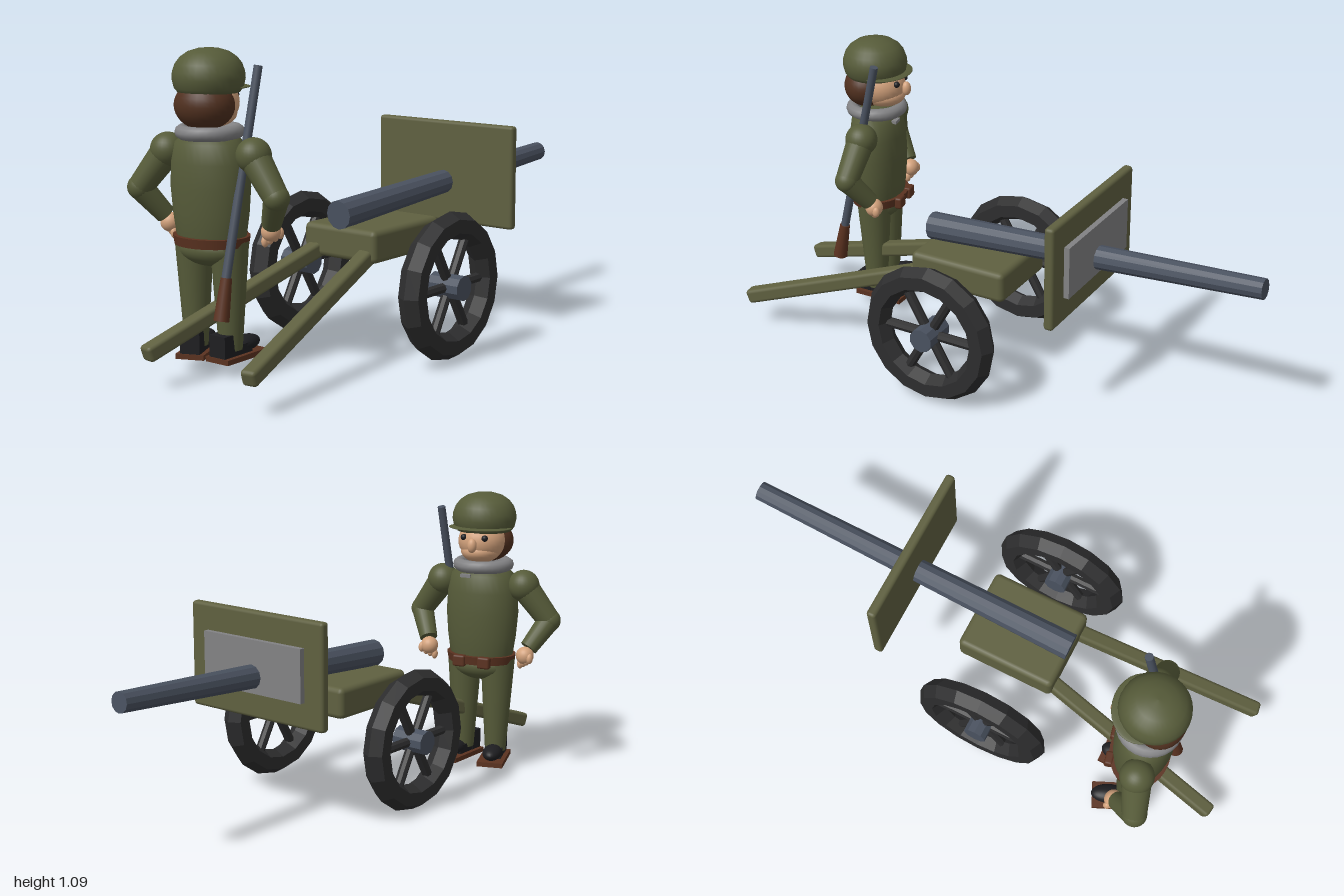
import * as THREE from 'three';
import { RoundedBoxGeometry } from 'three/addons/geometries/RoundedBoxGeometry.js';

const paint = (name, color) => Object.assign(new THREE.MeshStandardMaterial({ color }), { name });
const M = {
  gunGreen: paint('gun green', 0x5f6040),
  uniform: paint('uniform green', 0x565b39),
  steel: paint('blued steel', 0x4a5260),
  rubber: paint('dark wheel', 0x2d2d2e),
  grey: paint('grey', 0x828284),
  skin: paint('skin', 0xd3a27c),
  leather: paint('brown leather', 0x5b3220),
  hair: paint('brown hair', 0x50301f),
  black: paint('black', 0x1e1e21),
};
const V = (x, y, z) => new THREE.Vector3(x, y, z);

// faceted normals for the low-poly parts
function flat(geo) {
  const g = geo.index ? geo.toNonIndexed() : geo;
  g.computeVertexNormals();
  return g;
}

function add(parent, name, geo, mat, x = 0, y = 0, z = 0) {
  const m = new THREE.Mesh(geo, mat);
  m.name = name;
  m.position.set(x, y, z);
  parent.add(m);
  return m;
}

function ball(parent, name, mat, x, y, z, rx, ry = rx, rz = rx) {
  const m = add(parent, name, new THREE.SphereGeometry(1, 28, 18), mat, x, y, z);
  m.scale.set(rx, ry, rz);
  return m;
}

// tapered round bar from a to b
function rod(parent, name, mat, a, b, ra, rb = ra, sides = 20, faceted = false) {
  const geo = new THREE.CylinderGeometry(rb, ra, a.distanceTo(b), sides);
  const m = add(parent, name, faceted ? flat(geo) : geo, mat);
  m.position.copy(a).lerp(b, 0.5);
  m.quaternion.setFromUnitVectors(V(0, 1, 0), b.clone().sub(a).normalize());
  return m;
}

function makeWheel(name, z) {
  const wheel = new THREE.Group();
  wheel.name = name;
  add(wheel, 'rim', flat(new THREE.TorusGeometry(0.212, 0.048, 6, 16)), M.rubber);
  for (let i = 0; i < 3; i++) {
    const a = (i * Math.PI) / 3;
    const end = V(Math.cos(a) * 0.19, Math.sin(a) * 0.19, 0);
    rod(wheel, 'spoke', M.rubber, end.clone().negate(), end, 0.018, 0.018, 8, true);
  }
  rod(wheel, 'hub', M.steel, V(0, 0, -0.062), V(0, 0, 0.062), 0.044, 0.044, 10, true);
  wheel.position.set(-0.095, 0.262, z);
  return wheel;
}

function makeCannon() {
  const gun = new THREE.Group();
  gun.name = 'fieldGun';
  for (const s of [-1, 1]) {
    gun.add(makeWheel('wheel', s * 0.334));
    // sloping trail legs, spread towards the back
    const a = V(-0.99, 0.122, s * 0.222), b = V(-0.2, 0.388, s * 0.1);
    const trail = add(gun, 'trail', new RoundedBoxGeometry(0.055, 0.055, a.distanceTo(b), 2, 0.013), M.gunGreen);
    trail.position.copy(a).lerp(b, 0.5);
    trail.lookAt(b);
  }
  add(gun, 'carriage', new RoundedBoxGeometry(0.38, 0.115, 0.314, 2, 0.02), M.gunGreen, -0.095, 0.4, 0);
  rod(gun, 'barrel', M.steel, V(-0.285, 0.498, 0), V(0.998, 0.574, 0), 0.051, 0.036, 12, true);
  add(gun, 'shield', new RoundedBoxGeometry(0.036, 0.38, 0.605, 2, 0.012), M.gunGreen, 0.354, 0.573, 0);
  add(gun, 'shieldPlate', new THREE.BoxGeometry(0.03, 0.19, 0.446), M.grey, 0.377, 0.573, 0);
  gun.position.z = 0.073;
  return gun;
}

function makeHead() {
  const head = new THREE.Group();
  head.name = 'head';
  ball(head, 'face', M.skin, 0.015, 0.905, 0, 0.1, 0.082, 0.09);
  ball(head, 'jaw', M.skin, 0.03, 0.868, 0, 0.084, 0.046, 0.074);
  ball(head, 'hair', M.hair, -0.03, 0.9, 0, 0.089, 0.082, 0.104);
  ball(head, 'nose', M.skin, 0.122, 0.898, 0, 0.018, 0.027, 0.018);
  for (const s of [-1, 1]) ball(head, 'eye', M.black, 0.1, 0.925, s * 0.042, 0.012);
  // helmet dome with a closed lower edge
  const dome = [[0, -0.045], [0.102, -0.045], [0.114, -0.03], [0.121, 0], [0.119, 0.023],
    [0.11, 0.049], [0.094, 0.07], [0.068, 0.088], [0.035, 0.098], [0, 0.101]];
  add(head, 'helmet', new THREE.LatheGeometry(dome.map(p => new THREE.Vector2(...p)), 32), M.uniform, 0, 0.986, 0);
  ball(head, 'visor', M.uniform, 0.04, 0.957, 0, 0.1, 0.008, 0.122);
  return head;
}

function makeArm(s) {
  const arm = new THREE.Group();
  arm.name = 'arm';
  const shoulder = V(0, 0.74, s * 0.165), elbow = V(-0.025, 0.61, s * 0.262), wrist = V(0.04, 0.51, s * 0.206);
  ball(arm, 'shoulder', M.uniform, ...shoulder, 0.06);
  rod(arm, 'upperArm', M.uniform, shoulder, elbow, 0.053, 0.043);
  ball(arm, 'elbow', M.uniform, ...elbow, 0.044);
  rod(arm, 'forearm', M.uniform, elbow, wrist, 0.043, 0.034);
  ball(arm, 'hand', M.skin, 0.053, 0.482, s * 0.197, 0.033, 0.034, 0.034);
  for (let i = 0; i < 4; i++) {
    ball(arm, 'finger', M.skin, 0.07 - i * 0.008, 0.475 - i * 0.009, s * (0.222 - i * 0.015), 0.014, 0.02, 0.012);
  }
  return arm;
}

function makeLeg(s) {
  const leg = new THREE.Group();
  leg.name = 'leg';
  rod(leg, 'trouserLeg', M.uniform, V(0, 0.45, s * 0.068), V(0, 0.08, s * 0.067), 0.066, 0.04);
  // boot, turned slightly outwards
  const boot = new THREE.Group();
  boot.name = 'boot';
  ball(boot, 'toe', M.black, 0.07, 0.086, 0, 0.066, 0.028, 0.036);
  add(boot, 'heel', new THREE.BoxGeometry(0.055, 0.075, 0.07), M.black, -0.04, 0.1, 0);
  add(boot, 'bootUpper', new THREE.BoxGeometry(0.1, 0.035, 0.066), M.black, 0.02, 0.078, 0);
  add(boot, 'sole', new THREE.BoxGeometry(0.2, 0.018, 0.1), M.leather, 0.03, 0.053, 0);
  boot.position.z = s * 0.067;
  boot.rotation.y = -s * 0.2;
  leg.add(boot);
  return leg;
}

function makeSoldier() {
  const man = new THREE.Group();
  man.name = 'soldier';
  man.add(makeHead());
  const coat = [[0, 0.42], [0.11, 0.42], [0.125, 0.47], [0.135, 0.54], [0.142, 0.63],
    [0.138, 0.71], [0.124, 0.775], [0.085, 0.81], [0, 0.82]];
  const torso = add(man, 'torso', new THREE.LatheGeometry(coat.map(p => new THREE.Vector2(...p)), 32), M.uniform);
  torso.scale.x = 0.74;
  const belt = add(man, 'belt', new THREE.CylinderGeometry(0.136, 0.13, 0.032, 32), M.leather, 0, 0.45, 0);
  belt.scale.x = 0.8;
  for (const s of [-1, 1]) {
    add(man, 'beltPouch', new RoundedBoxGeometry(0.03, 0.045, 0.05, 2, 0.008), M.leather, 0.1, 0.447, s * 0.05);
    man.add(makeArm(s), makeLeg(s));
  }
  ball(man, 'hips', M.uniform, 0, 0.42, 0, 0.085, 0.06, 0.125);
  // scarf and its knot
  const scarf = add(man, 'scarf', new THREE.TorusGeometry(0.092, 0.024, 10, 28), M.grey, 0, 0.811, 0);
  scarf.rotation.x = Math.PI / 2;
  add(man, 'scarfEnd', new THREE.BoxGeometry(0.02, 0.012, 0.04), M.grey, 0.088, 0.776, 0.035);
  man.position.set(-0.673, 0, -0.154);
  man.rotation.y = 0.22;
  return man;
}

function makeRifle() {
  const rifle = new THREE.Group();
  rifle.name = 'rifle';
  rod(rifle, 'rifleBarrel', M.steel, V(-0.755, 0.33, -0.017), V(-0.583, 1.028, -0.017), 0.016, 0.015, 12);
  rod(rifle, 'rifleStock', M.leather, V(-0.779, 0.212, -0.014), V(-0.75, 0.35, -0.016), 0.027, 0.019, 12);
  return rifle;
}

export function createModel() {
  const model = new THREE.Group();
  model.name = 'gunnerWithFieldGun';
  model.add(makeCannon(), makeSoldier(), makeRifle());
  return model;
}
